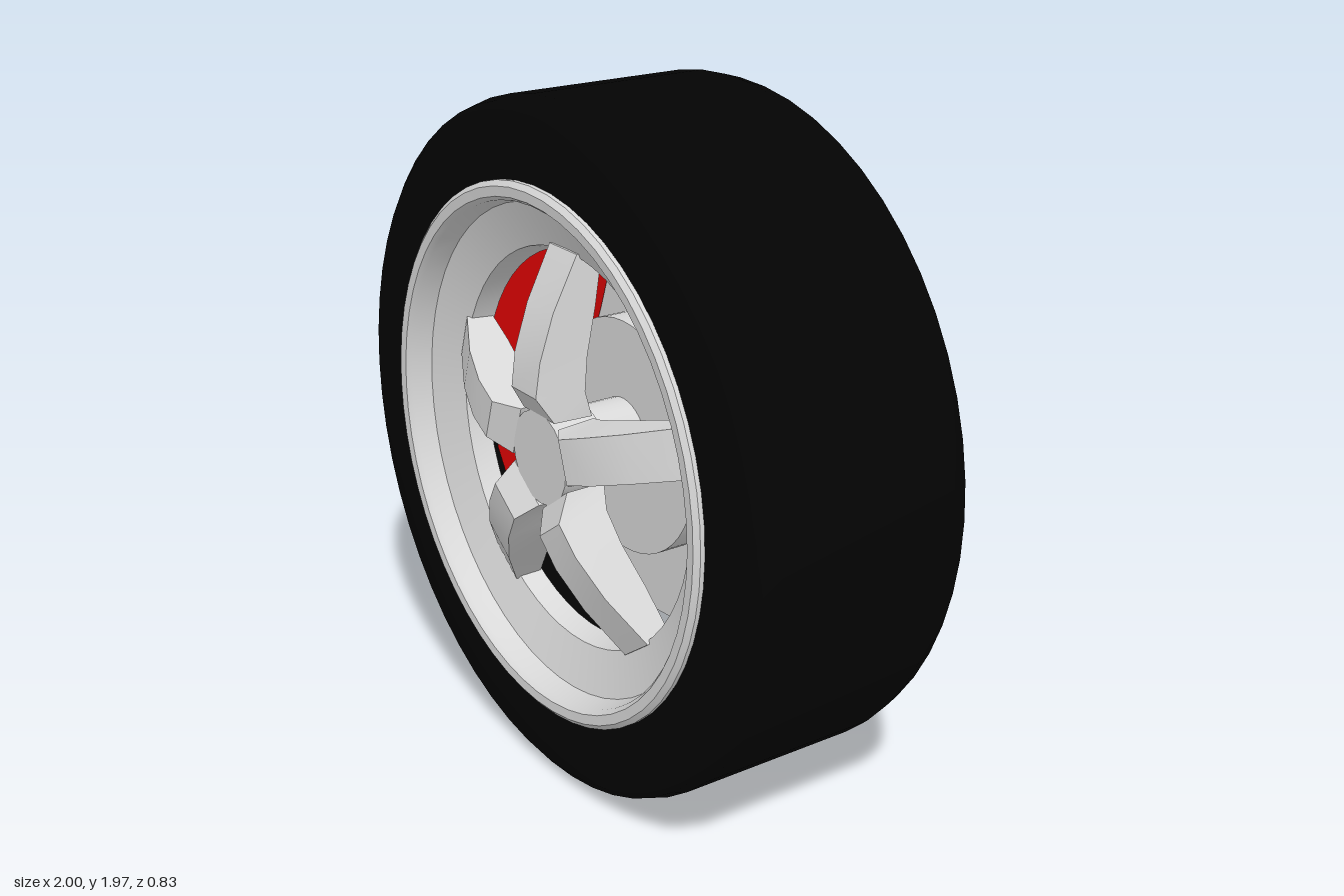
import * as THREE from 'three';
import { toCreasedNormals } from 'three/addons/utils/BufferGeometryUtils.js';

const rubber = new THREE.MeshStandardMaterial({ name: 'black rubber', color: 0x030303, side: THREE.DoubleSide });
const metal = new THREE.MeshStandardMaterial({ name: 'silver metal', color: 0xd8d8d8, side: THREE.DoubleSide });
const paint = new THREE.MeshStandardMaterial({ name: 'red paint', color: 0xe40303 });

function add(parent, name, geometry, material) {
  const mesh = new THREE.Mesh(geometry, material);
  mesh.name = name;
  parent.add(mesh);
  return mesh;
}

// Turned part: profile of [radius, z] around the wheel axis
function turned(profile, crease, sides = 56) {
  const g = new THREE.LatheGeometry(profile.map(([r, z]) => new THREE.Vector2(r, z)), sides);
  return toCreasedNormals(g.rotateX(Math.PI / 2), crease);
}

// Solid disc between two depths
function drum(r, z0, z1, sides = 48) {
  const g = new THREE.CylinderGeometry(r, r, z1 - z0, sides).rotateX(Math.PI / 2);
  return g.translate(0, 0, (z0 + z1) / 2);
}

// Spoke pointing up, lofted through trapezoid sections
function spokeGeometry() {
  // radius, half width in front, half width behind, front z, back z
  const rows = [
    [0.125, 0.078, 0.086, 0.335, 0.22],
    [0.20, 0.062, 0.085, 0.382, 0.24],
    [0.30, 0.064, 0.082, 0.368, 0.23],
    [0.43, 0.065, 0.077, 0.325, 0.20],
    [0.58, 0.067, 0.074, 0.25, 0.175],
  ];
  const pos = [], index = [];
  for (const [r, a, b, zf, zb] of rows) pos.push(-a, r, zf, a, r, zf, b, r, zb, -b, r, zb);
  for (let i = 0; i < rows.length - 1; i++) {
    for (let k = 0; k < 4; k++) {
      const p = i * 4 + k, q = i * 4 + (k + 1) % 4;
      index.push(p, q + 4, q, p, p + 4, q + 4);
    }
  }
  const e = (rows.length - 1) * 4;
  index.push(0, 1, 2, 0, 2, 3, e, e + 2, e + 1, e, e + 3, e + 2);
  const g = new THREE.BufferGeometry();
  g.setAttribute('position', new THREE.Float32BufferAttribute(pos, 3));
  g.setIndex(index);
  return toCreasedNormals(g, 0.4);
}

// Flat plate from an outline, between two depths
function plate(points, z0, z1) {
  const shape = new THREE.Shape(points.map(([x, y]) => new THREE.Vector2(x, y)));
  return new THREE.ExtrudeGeometry(shape, { depth: z1 - z0, bevelEnabled: false }).translate(0, 0, z0);
}

const mirrored = (half) => [...half, ...half.map(([x, y]) => [x, -y]).reverse()];

export function createModel() {
  const root = new THREE.Group();
  root.name = 'wheel';
  const wheel = new THREE.Group();
  wheel.name = 'wheelAssembly';
  wheel.position.y = 0.983;
  wheel.rotation.y = -0.073;
  root.add(wheel);

  // Tyre shell, open at the back
  add(wheel, 'tyre', turned([
    [0.945, -0.345], [0.968, -0.33], [0.983, -0.28], [0.983, 0.27],
    [0.97, 0.315], [0.945, 0.335], [0.745, 0.335],
  ], 1), rubber);

  // Rim lip, steep wall, shallow dished ring and short barrel
  add(wheel, 'rim', turned([
    [0.74, 0.33], [0.765, 0.337], [0.765, 0.35], [0.75, 0.362], [0.722, 0.36],
    [0.71, 0.345], [0.698, 0.285], [0.572, 0.24], [0.555, 0.175],
  ], 0.6), metal);

  // Five spokes around the hub
  const spoke = spokeGeometry();
  for (let i = 0; i < 5; i++) {
    add(wheel, 'spoke', spoke, metal).rotation.z = i * Math.PI * 2 / 5;
  }
  add(wheel, 'hubCap', toCreasedNormals(drum(0.135, 0.2, 0.337, 20), 0.5), metal);
  add(wheel, 'axle', drum(0.115, 0.04, 0.22, 32), metal);

  // Brake disc with raised centre
  add(wheel, 'brakeDisc', drum(0.568, -0.095, -0.045), metal);
  add(wheel, 'discCentre', drum(0.342, -0.05, 0.06), metal);

  // Brake caliper: notched plates astride the disc, solid backing, thinner ends
  const caliper = new THREE.Group();
  caliper.name = 'brakeCaliper';
  wheel.add(caliper);
  const half = [[-0.32, 0.14], [-0.465, 0.265], [-0.26, 0.29], [-0.2, 0.46], [-0.53, 0.49], [-0.675, 0.26]];
  const notched = mirrored(half);
  const solid = mirrored(half.filter((p, i) => i !== 1));
  const bridge = mirrored([[-0.58, 0.2], [-0.44, 0.46], [-0.53, 0.49], [-0.675, 0.26]]);
  add(caliper, 'caliperBack', plate(notched, -0.12, -0.085), paint);
  add(caliper, 'caliperBridge', plate(bridge, -0.095, -0.02), paint);
  add(caliper, 'caliperBacking', plate(solid, -0.04, 0.035), paint);
  add(caliper, 'caliperFront', plate(notched, 0.035, 0.075), paint);
  for (const s of [1, -1]) {
    const end = [[-0.2, 0.46 * s], [-0.11, 0.555 * s], [-0.44, 0.56 * s], [-0.53, 0.49 * s]];
    add(caliper, 'caliperEnd', plate(end, -0.108, 0.035), paint);
  }
  return root;
}
